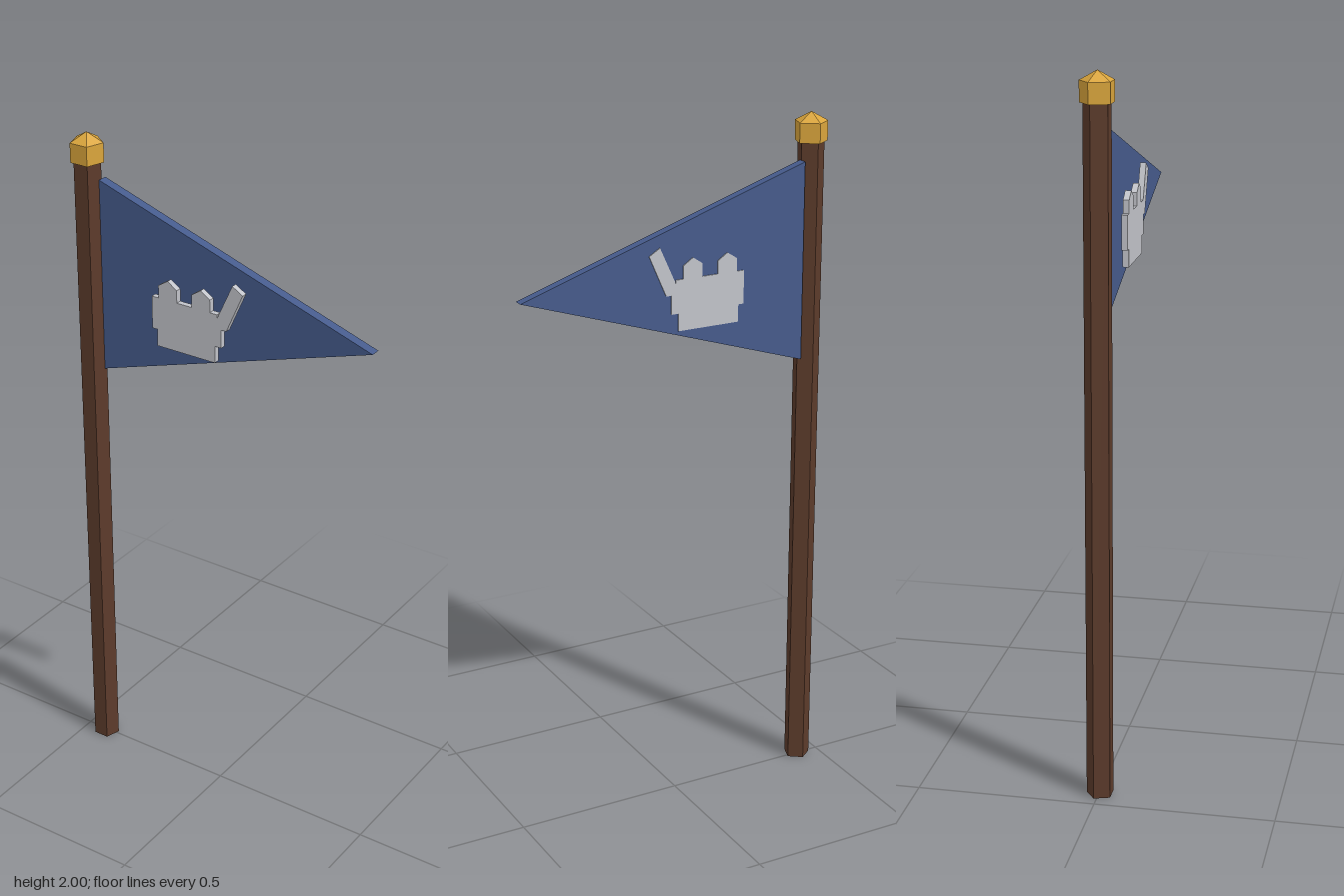
import * as THREE from 'three';

const wood = new THREE.MeshStandardMaterial({ color: 0x5c3b2b });
wood.name = 'brown wood';
const cloth = new THREE.MeshStandardMaterial({ color: 0x465b8c });
cloth.name = 'blue cloth';
const gold = new THREE.MeshStandardMaterial({ color: 0xdaa53c });
gold.name = 'gold';
const silver = new THREE.MeshStandardMaterial({ color: 0xc2c4ca });
silver.name = 'silver';

const POLE_X = -0.432;
const POLE_Z = 0.004;

function addPart(group, name, geometry, material) {
  // Unshared corners keep every facet flat
  const flat = geometry.index ? geometry.toNonIndexed() : geometry;
  flat.computeVertexNormals();
  const mesh = new THREE.Mesh(flat, material);
  mesh.name = name;
  group.add(mesh);
  return mesh;
}

// Five-sided prism or cone with one corner pointing back
function pentagon(topRadius, bottomRadius, y0, y1) {
  return new THREE.CylinderGeometry(topRadius, bottomRadius, y1 - y0, 5, 1, false, Math.PI)
    .translate(POLE_X, (y0 + y1) / 2, POLE_Z);
}

// Flat plate cut from an outline in x and y, between two depths
function plate(points, z0, z1) {
  const shape = new THREE.Shape(points.map(([x, y]) => new THREE.Vector2(x, y)));
  return new THREE.ExtrudeGeometry(shape, { depth: z1 - z0, bevelEnabled: false })
    .translate(0, 0, z0);
}

export function createModel() {
  const model = new THREE.Group();
  model.name = 'pennant';

  // Pole and its pointed finial
  addPart(model, 'pole', pentagon(0.039, 0.039, 0, 1.93), wood);
  const finial = new THREE.Group();
  finial.name = 'finial';
  addPart(finial, 'finialBase', pentagon(0.048, 0.048, 1.917, 1.973), gold);
  addPart(finial, 'finialTip', pentagon(0, 0.048, 1.973, 2), gold);
  model.add(finial);

  // Triangular flag
  addPart(model, 'flag', plate([[-0.396, 1.296], [0.475, 1.582], [-0.396, 1.868]], -0.027, 0.002), cloth);

  // Emblem: stepped body, two pointed battlements and a slanted arm
  const emblem = [
    [-0.185, 1.44], [0.005, 1.44], [0.005, 1.49], [0.026, 1.49], [0.026, 1.544],
    [0.042, 1.544], [0.094, 1.662], [0.061, 1.682], [0.012, 1.575], [0.012, 1.586],
    [-0.011, 1.586], [-0.011, 1.623], [-0.041, 1.643], [-0.071, 1.623], [-0.071, 1.586],
    [-0.119, 1.586], [-0.119, 1.623], [-0.149, 1.643], [-0.18, 1.623], [-0.18, 1.586],
    [-0.202, 1.586], [-0.202, 1.49], [-0.185, 1.49],
  ];
  addPart(model, 'frontEmblem', plate(emblem, 0.018, 0.035), silver);
  addPart(model, 'backEmblem', plate(emblem, -0.03, -0.02), silver);

  return model;
}
